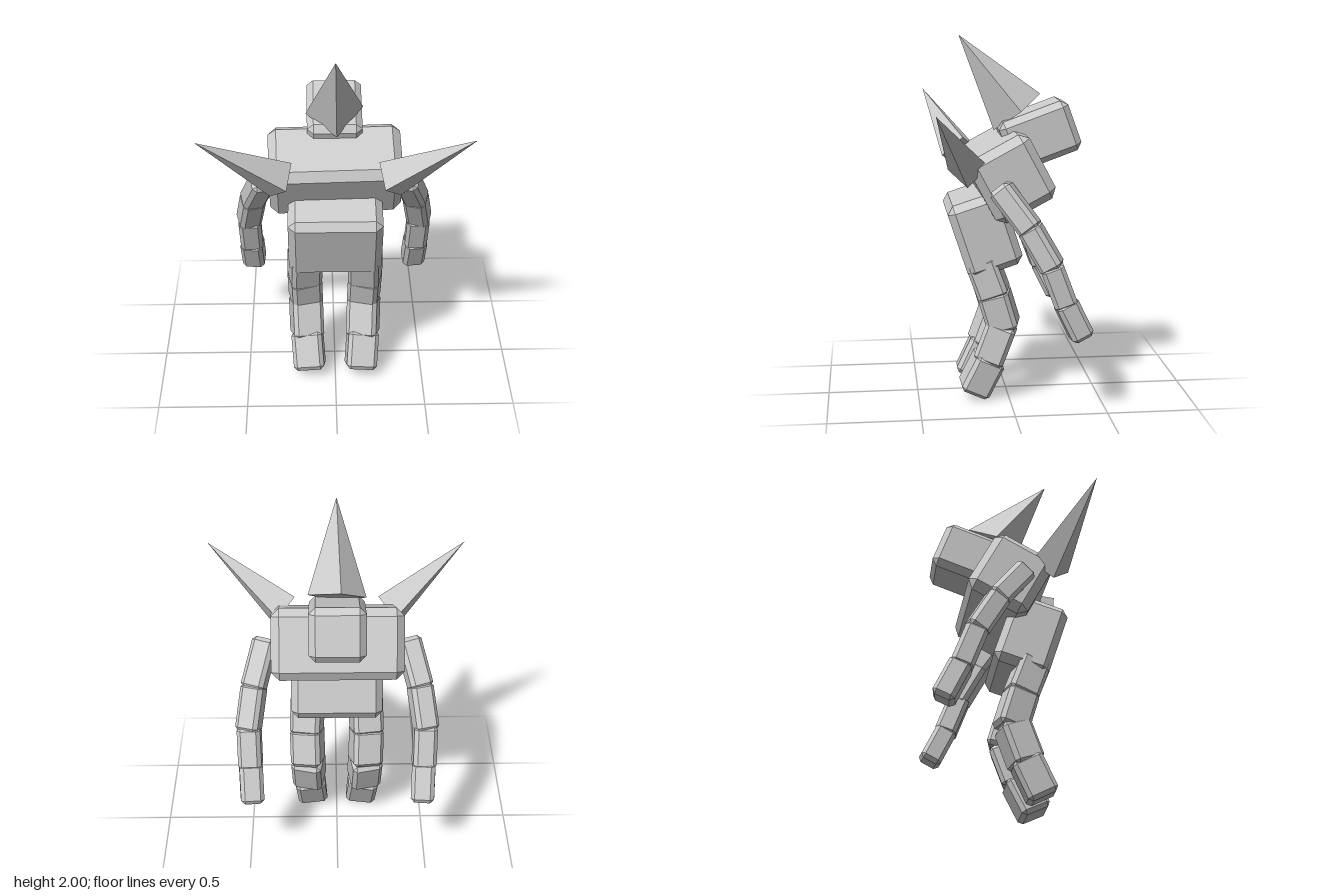
import * as THREE from 'three';
import { ConvexGeometry } from 'three/addons/geometries/ConvexGeometry.js';

const stone = new THREE.MeshStandardMaterial({ color: 0xcccccc });
stone.name = 'paleGrey';

// Box with flat chamfered edges and corners
function chamferBox(w, h, d, c) {
  const pts = [];
  for (const x of [-1, 1]) for (const y of [-1, 1]) for (const z of [-1, 1]) {
    for (let k = 0; k < 3; k++) {
      pts.push(new THREE.Vector3(
        x * (w / 2 - (k === 0 ? 0 : c)),
        y * (h / 2 - (k === 1 ? 0 : c)),
        z * (d / 2 - (k === 2 ? 0 : c))));
    }
  }
  return new ConvexGeometry(pts);
}

function addMesh(parent, name, geometry) {
  const mesh = new THREE.Mesh(geometry, stone);
  mesh.name = name;
  parent.add(mesh);
  return mesh;
}

// Tilted body block; tilt in degrees about x
function addBlock(parent, name, size, chamfer, pos, tilt, yaw = 0) {
  const mesh = addMesh(parent, name, chamferBox(...size, chamfer));
  mesh.position.set(...pos);
  mesh.rotation.set(THREE.MathUtils.degToRad(tilt), yaw, 0);
}

// Four-sided spike from a tip and base corners
function addSpike(parent, name, points) {
  addMesh(parent, name, new ConvexGeometry(points.map((p) => new THREE.Vector3(...p))));
}

// Limb made of chamfered blocks strung between joints, each twisted about its own length
function addLimb(parent, name, joints, width, depth, twists, side) {
  const limb = new THREE.Group();
  limb.name = name;
  const pts = joints.map(([x, y, z]) => new THREE.Vector3(x * side, y, z));
  twists.forEach((twist, i) => {
    const up = pts[i].clone().sub(pts[i + 1]);
    const overlap = i < twists.length - 1 ? 0.035 : 0;
    const geometry = chamferBox(width, up.length() + overlap, depth, 0.022);
    geometry.rotateY(twist * side);
    up.normalize();
    const mid = pts[i].clone().add(pts[i + 1]).multiplyScalar(0.5);
    mid.addScaledVector(up, -overlap / 2);
    const right = new THREE.Vector3().crossVectors(up, new THREE.Vector3(0, 0, 1)).normalize();
    const front = new THREE.Vector3().crossVectors(right, up);
    const mesh = addMesh(limb, name + 'Segment' + (i + 1), geometry);
    mesh.quaternion.setFromRotationMatrix(new THREE.Matrix4().makeBasis(right, up, front));
    mesh.position.copy(mid);
  });
  parent.add(limb);
}

export function createModel() {
  const model = new THREE.Group();
  model.name = 'spikedGolem';

  // Body blocks
  addBlock(model, 'abdomen', [0.515, 0.42, 0.315], 0.04, [0, 0.935, 0.132], 18);
  addBlock(model, 'torso', [0.72, 0.39, 0.365], 0.045, [0, 1.252, 0.003], 28, 0.028);
  addBlock(model, 'head', [0.3, 0.288, 0.4], 0.035, [0, 1.457, -0.18], 20);

  // Head spike
  addSpike(model, 'headSpike', [
    [0, 2.0, 0.255],
    [0.01, 1.48, 0.065], [0.155, 1.595, -0.07], [-0.02, 1.675, -0.195], [-0.157, 1.565, -0.05],
  ]);

  for (const side of [1, -1]) {
    const label = side > 0 ? 'left' : 'right';

    // Shoulder spike
    addSpike(model, label + 'ShoulderSpike', [
      [0.715, 1.642, 0.42],
      [0.232, 1.41, 0.218], [0.26, 1.305, 0.335], [0.35, 1.22, 0.238], [0.322, 1.325, 0.121],
    ].map(([x, y, z]) => [x * side, y, z]));

    // Arm, shoulder to hand
    addLimb(model, label + 'Arm', [
      [0.39, 1.23, 0.075], [0.455, 1.03, -0.073], [0.488, 0.83, -0.187],
      [0.483, 0.63, -0.262], [0.475, 0.422, -0.363],
    ], 0.13, 0.125, [-0.4, -0.35, -0.05, 0.12], side);

    // Leg, hip to foot
    addLimb(model, label + 'Leg', [
      [0.165, 0.8, 0.152], [0.172, 0.615, 0.085], [0.168, 0.43, 0.03],
      [0.162, 0.24, 0.1], [0.146, 0.035, 0.2],
    ], 0.175, 0.17, [-0.22, -0.22, -0.22, 0.05], side);
  }
  return model;
}
